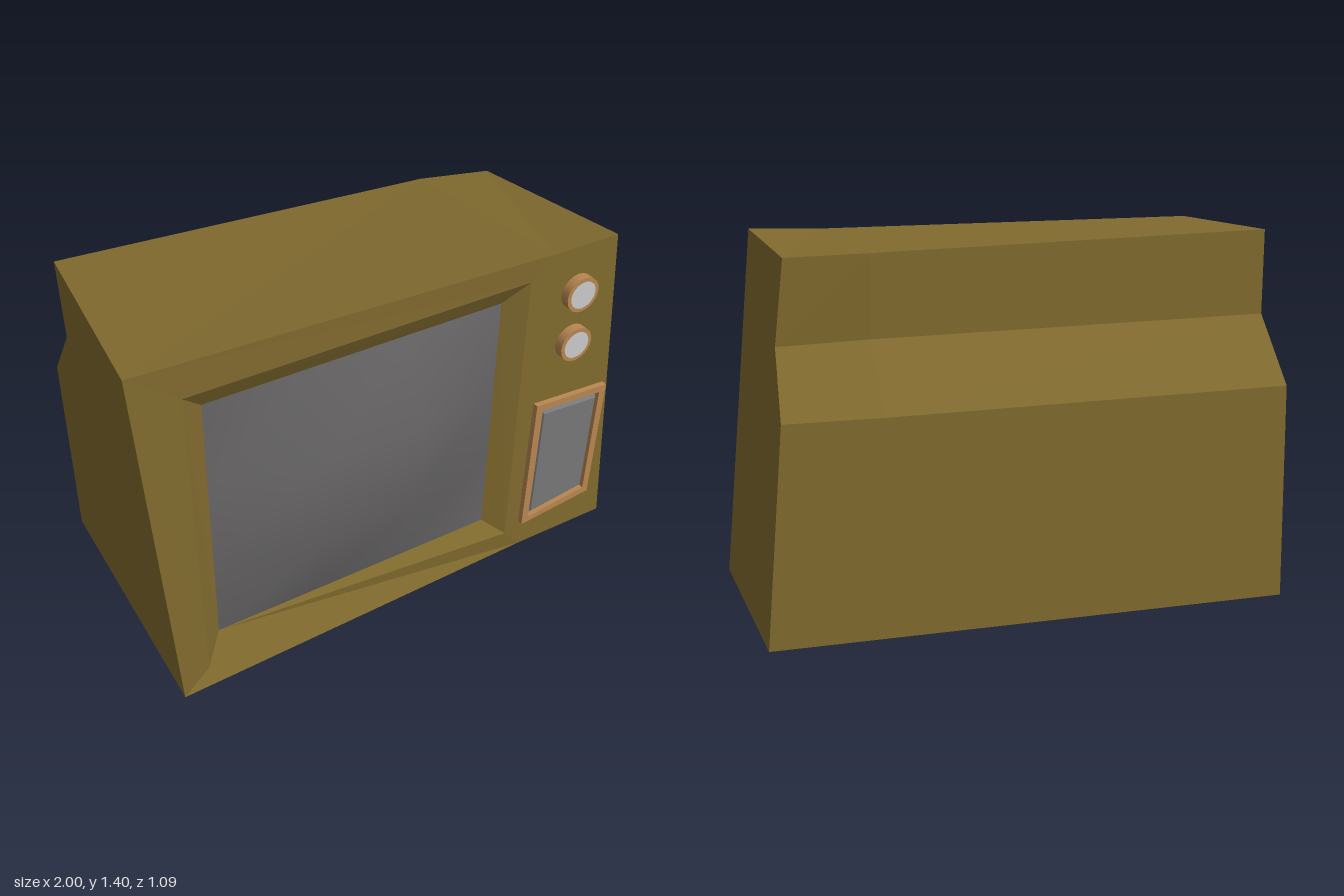
import * as THREE from 'three';

const mat = (color, flatShading = false) => new THREE.MeshStandardMaterial({ color, flatShading });

// Fan-triangulated polygons, corners counter-clockwise seen from outside
function polyGeometry(polys) {
  const pos = [];
  for (const p of polys)
    for (let i = 1; i < p.length - 1; i++) pos.push(...p[0], ...p[i], ...p[i + 1]);
  const g = new THREE.BufferGeometry();
  g.setAttribute('position', new THREE.Float32BufferAttribute(pos, 3));
  g.computeVertexNormals();
  return g;
}

// Quads joining two loops of corners
const bridge = (a, b) => a.map((p, i) => {
  const j = (i + 1) % a.length;
  return [p, a[j], b[j], b[i]];
});

const atZ = (loop, z) => loop.map(([x, y]) => [x, y, z]);

// Moves a loop's corners towards its centre by a fraction
function shrink(loop, k) {
  const cx = loop.reduce((s, p) => s + p[0], 0) / loop.length;
  const cy = loop.reduce((s, p) => s + p[1], 0) / loop.length;
  return loop.map(([x, y]) => [cx + (x - cx) * k, cy + (y - cy) * k]);
}

export function createModel() {
  const model = new THREE.Group();
  const add = (name, geometry, material, parent = model) => {
    const m = new THREE.Mesh(geometry, material);
    m.name = name;
    parent.add(m);
    return m;
  };
  const shell = mat(0x806a2e, true), trim = mat(0xb98751, true);
  const glass = mat(0x666464), grille = mat(0x777777, true), cap = mat(0xcccccc);

  // Cabinet sections: front bottom, front top, back top, shoulder, ledge, back bottom
  const L = [[-0.925, 0, 0.52], [-1, 1.405, 0.478], [-0.91, 1.355, -0.352],
    [-0.905, 1.04, -0.352], [-0.905, 0.79, -0.545], [-0.905, 0, -0.545]];
  const M = [[0.59, 0, 0.48], [0.6, 1.355, 0.48], [0.6, 1.28, -0.352],
    [0.6, 0.99, -0.352], [0.6, 0.75, -0.545], [0.6, 0, -0.545]];
  const R = [[1, 0, 0.48], [0.885, 1.355, 0.48], [0.885, 1.265, -0.3],
    [0.918, 0.97, -0.31], [0.937, 0.74, -0.51], [1, 0, -0.545]];
  const faces = [L, [R[0], ...R.slice(1).reverse()], [M[0], R[0], R[1], M[1]]];
  for (const [a, b] of [[L, M], [M, R]])
    for (let i = 1; i < 6; i++) {
      const j = (i + 1) % 6;
      faces.push([a[i], b[i], b[j], a[j]]);
    }

  // Screen surround: flat border, then bevels sloping in to the screen
  const x0 = -0.74, x1 = 0.42, y0 = 0.17, y1 = 1.19, zIn = 0.437;
  const oTL = [-0.82, 1.27, 0.48], oBL = [-0.82, 0.09, 0.512];
  const oBR = [0.51, 0.09, 0.482], oTR = [0.51, 1.27, 0.479];
  const iTL = [x0, y1, zIn], iBL = [x0, y0, zIn], iBR = [x1, y0, zIn], iTR = [x1, y1, zIn];
  faces.push(
    [L[1], L[0], oBL, oTL], [L[1], oTL, oTR, M[1]], [oTR, oBR, M[0], M[1]],
    [oTL, oBL, iBL, iTL], [oTL, iTL, iTR, oTR], [iTR, iBR, oBR, oTR],
    [iBL, oBL, L[0], M[0], oBR, iBR]);
  add('cabinet', polyGeometry(faces), shell);

  // Bulging screen: the inner corners of a 3 by 3 grid are pushed forward
  const screen = new THREE.PlaneGeometry(x1 - x0, y1 - y0, 3, 3);
  screen.translate((x0 + x1) / 2, (y0 + y1) / 2, zIn);
  const p = screen.attributes.position;
  for (let r = 1; r < 3; r++)
    for (let c = 1; c < 3; c++) p.setZ(r * 4 + c, 0.545);
  screen.computeVertexNormals();
  add('screen', screen, glass);

  // Control knobs with pale caps
  for (const [name, y] of [['upperKnob', 1.17], ['lowerKnob', 0.955]]) {
    const knob = new THREE.Group();
    knob.name = name;
    knob.position.set(0.725, y, 0.475);
    const ring = new THREE.CylinderGeometry(0.07, 0.07, 0.04, 20).rotateX(Math.PI / 2);
    add('knobBody', ring.translate(0, 0, 0.02), mat(0xb98751), knob);
    const disc = new THREE.CircleGeometry(0.055, 20);
    add('knobCap', disc.translate(0, 0, 0.0415), cap, knob);
    model.add(knob);
  }

  // Skewed speaker frame with a bevelled grille inside
  const outer = [[0.575, 0.125], [0.905, 0.16], [0.92, 0.695], [0.585, 0.715]];
  const inner = [[0.605, 0.152], [0.878, 0.188], [0.89, 0.668], [0.615, 0.686]];
  add('speakerFrame', polyGeometry([
    ...bridge(atZ(outer, 0.475), atZ(outer, 0.502)),
    ...bridge(atZ(outer, 0.502), atZ(inner, 0.502)),
    ...bridge(atZ(inner, 0.502), atZ(inner, 0.475))]), trim);
  const base = shrink(inner, 0.98), face = shrink(inner, 0.9);
  add('speakerGrille', polyGeometry([
    atZ(inner, 0.482),
    ...bridge(atZ(base, 0.482), atZ(face, 0.498)), atZ(face, 0.498)]), grille);

  return model;
}
